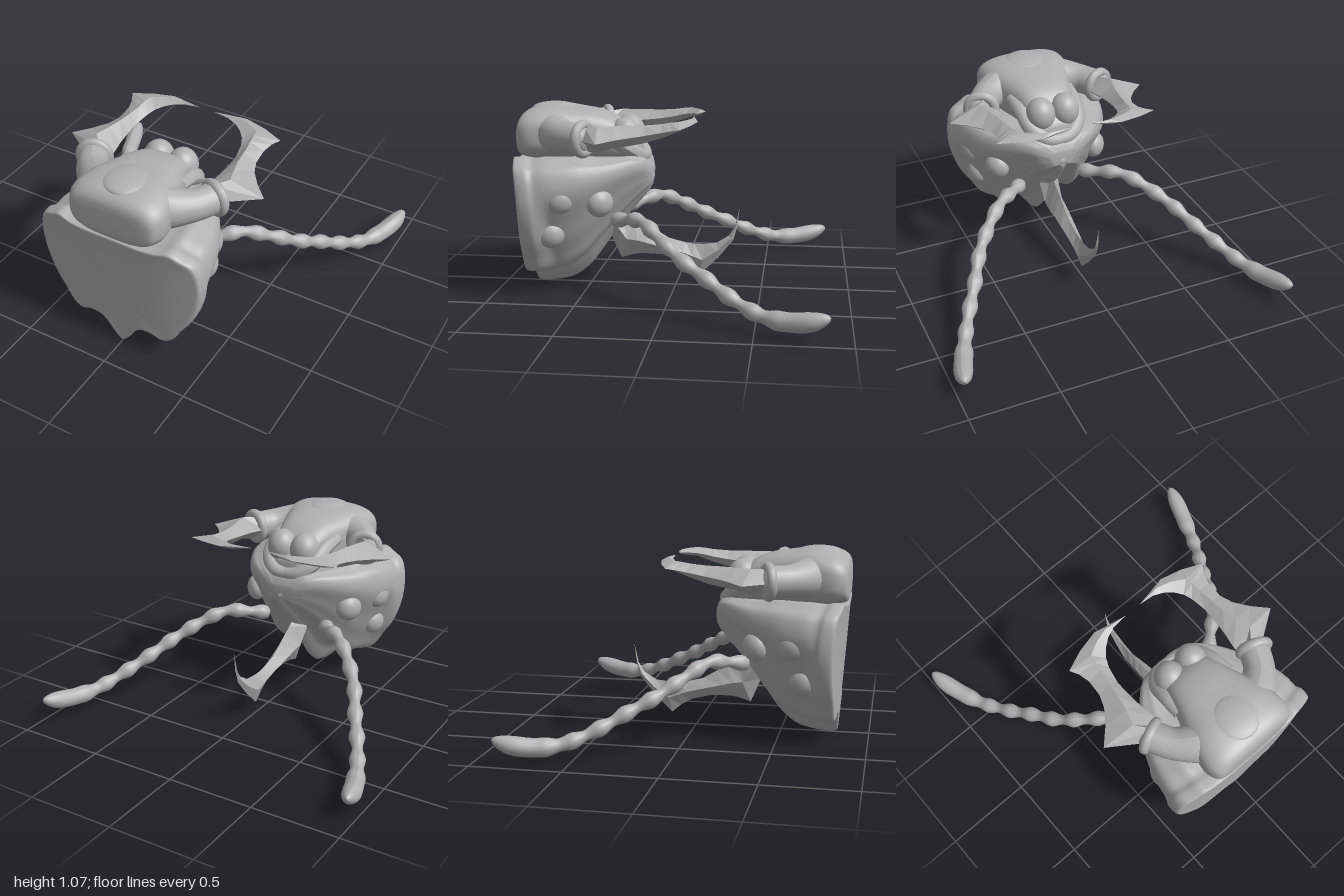
import * as THREE from 'three';

const V = (x, y, z) => new THREE.Vector3(x, y, z);
const { smoothstep, lerp } = THREE.MathUtils;
const shell = new THREE.MeshStandardMaterial({ color: 0xb0b0b0 });
shell.name = 'grey shell';

// Skin a series of closed rings, capping both ends; winding is corrected by signed volume
function loft(rings, flat = false) {
  const m = rings[0].length;
  const centre = r => r.reduce((s, p) => s.add(p), V(0, 0, 0)).divideScalar(m);
  const all = [rings[0].map(() => centre(rings[0])), ...rings, rings[0].map(() => centre(rings.at(-1)))];
  const pts = all.flat(), index = [];
  for (let i = 0; i < all.length - 1; i++)
    for (let j = 0; j < m; j++) {
      const a = i * m + j, b = i * m + (j + 1) % m;
      index.push(a, b, a + m, b, b + m, a + m);
    }
  let volume = 0;
  for (let k = 0; k < index.length; k += 3)
    volume += pts[index[k]].dot(pts[index[k + 1]].clone().cross(pts[index[k + 2]]));
  if (volume < 0) index.reverse();
  let g = new THREE.BufferGeometry().setFromPoints(pts);
  g.setIndex(index);
  if (flat) g = g.toNonIndexed();
  g.computeVertexNormals();
  return g;
}

// Spline-interpolate a table of section parameters
function smoothRows(rows, n) {
  const columns = rows[0].map((_, k) => new THREE.SplineCurve(rows.map(r => new THREE.Vector2(r[k], 0))));
  return Array.from({ length: n + 1 }, (_, i) => columns.map(c => c.getPoint(i / n).x));
}

// Tube whose radius follows a rule along its length
function variedTube(points, segments, sides, radius) {
  const curve = new THREE.CatmullRomCurve3(points);
  const g = new THREE.TubeGeometry(curve, segments, 1, sides, false);
  const p = g.attributes.position, v = V(0, 0, 0);
  for (let i = 0; i <= segments; i++) {
    const c = curve.getPointAt(i / segments), r = radius(i / segments);
    for (let j = 0; j <= sides; j++) {
      const k = i * (sides + 1) + j;
      v.fromBufferAttribute(p, k).sub(c).multiplyScalar(r).add(c);
      p.setXYZ(k, v.x, v.y, v.z);
    }
  }
  g.computeVertexNormals();
  return g;
}

function add(parent, name, geometry, position = [0, 0, 0], scale = [1, 1, 1]) {
  const mesh = new THREE.Mesh(geometry, shell);
  mesh.name = name;
  mesh.position.set(...position);
  mesh.scale.set(...scale);
  parent.add(mesh);
  return mesh;
}

// Scalloped shield outline, right half from top centre to bottom tip
const half = [[0, .785], [.15, .782], [.26, .788], [.335, .805], [.39, .78], [.46, .74], [.49, .62], [.482, .49],
  [.43, .34], [.365, .24], [.31, .155], [.26, .135], [.2, .158], [.13, .155], [.085, .115], [.045, .055], [0, .01]];
const outline = new THREE.CatmullRomCurve3(
  [...half, ...half.slice(1, -1).reverse().map(([x, y]) => [-x, y])].map(([x, y]) => V(x, y, 0)), true).getPoints(110).slice(0, -1);

function headGeometry() {
  // Lean the shield back towards its tip and curve its sides backwards
  const place = (x, y, z) => V(x, y, z + smoothstep(z, .5, .8) * ((y - .75) * .07 - .05 * Math.abs(x / .49) ** 3));
  // z, width factor, bottom, top
  const rows = [[.875, .95, .05, .78], [.872, .985, .022, .795], [.85, 1, .01, .8], [.81, 1, .01, .8], [.77, .975, .015, .79],
    [.7, .97, .025, .8], [.6, .94, .05, .8], [.5, .88, .12, .8], [.4, .77, .255, .79], [.3, .63, .39, .79],
    [.22, .49, .49, .79], [.16, .34, .56, .77], [.13, .16, .61, .71]];
  const sections = smoothRows(rows, 48).map(([z, w, bottom, top]) => outline.map(p => {
    const tuck = 1 - .13 * smoothstep(.8 - p.y, .15, .42) * smoothstep(.8 - z, 0, .12);
    return place(p.x * w * tuck, top - (.8 - p.y) / .79 * (top - bottom), z);
  }));
  // Curved front face inside the rim
  const face = [.15, .4, .65, .85].map(s => outline.map(p =>
    place(p.x * .95 * s, .48 + (.05 + (p.y - .01) * .924 - .48) * s, .872)));
  return loft([...face, ...sections]);
}

function skullGeometry() {
  // z, half width, bottom, top
  const rows = [[.877, .17, .82, .95], [.87, .235, .785, 1], [.84, .265, .77, 1.035], [.78, .28, .76, 1.055],
    [.67, .262, .76, 1.065], [.55, .22, .76, 1.05], [.45, .185, .76, 1.035], [.35, .155, .76, 1],
    [.27, .135, .75, .93], [.2, .1, .74, .84]];
  const bend = t => Math.sign(t) * Math.abs(t) ** .68;
  return loft(smoothRows(rows, 30).map(([z, w, b, t]) => Array.from({ length: 40 }, (_, j) => {
    const a = j / 40 * Math.PI * 2;
    return V(w * bend(Math.cos(a)), (b + t) / 2 + (t - b) / 2 * bend(Math.sin(a)), z);
  })));
}

// Horn blade rows: outer x, z, inner x, z, height, half thickness
const hornRows = [[.42, .47, .3, .45, .91, .07], [.6, .35, .29, .39, .92, .068], [.52, .27, .305, .3, .93, .06],
  [.46, .19, .313, .21, .937, .055], [.433, .12, .315, .13, .945, .048], [.43, .03, .298, .04, .962, .038],
  [.447, -.03, .278, -.005, .975, .033], [.475, -.075, .245, -.045, .985, .027],
  [.36, -.122, .2, -.08, .993, .021], [.235, -.15, .14, -.104, 1, .014], [.05, -.11, .05, -.109, 1.008, .001]];
// Mandible blade rows: outer z, y, inner z, y, half thickness
const jawRows = [[.38, .3, .32, .46, .06], [.32, .16, .24, .41, .056], [.26, .181, .18, .375, .053], [.2, .191, .12, .335, .05],
  [.08, .187, .04, .288, .044], [-.03, .158, -.06, .262, .037], [-.09, .122, -.11, .256, .033], [-.145, .075, -.17, .257, .029],
  [-.25, .18, -.24, .267, .021], [-.335, .285, -.31, .312, .013], [-.355, .36, -.344, .365, .008], [-.37, .475, -.369, .475, .001]];

function buildSide() {
  const side = new THREE.Group();
  // Horn stalk, rim and blade
  add(side, 'hornStalk', variedTube([V(.02, .91, .68), V(.17, .915, .665), V(.305, .915, .575), V(.372, .915, .46)],
    20, 20, t => .125 - .04 * smoothstep(t, .2, .8)));
  const rim = add(side, 'hornRim', new THREE.TorusGeometry(.078, .028, 12, 28), [.372, .915, .46]);
  rim.lookAt(.372 + .39, .915, .46 - .92);
  add(side, 'hornSocket', new THREE.SphereGeometry(.08, 20, 12), [.37, .915, .465], [1, 1, .5]);
  add(side, 'hornBlade', loft(hornRows.map(([ox, oz, ix, iz, y, h]) => {
    const mx = ox * .4 + ix * .6, mz = oz * .4 + iz * .6;
    return [V(ox, y, oz), V(mx, y + h, mz), V(ix, y, iz), V(mx, y - h, mz)];
  }), true));

  // Cluster of three side eyes, turned to lie against the cheek
  for (const [x, y, z, turn] of [[.405, .58, .59, .3], [.318, .55, .385, .65], [.355, .375, .655, .2]]) {
    const eye = add(side, 'sideEye', new THREE.SphereGeometry(.078, 24, 16), [x, y, z], [.75, 1, 1]);
    eye.rotation.y = turn;
  }

  // Beaded antenna ending in a club
  add(side, 'antenna', variedTube([V(.2, .43, .32), V(.27, .45, .24), V(.38, .465, .14), V(.49, .41, .04), V(.61, .32, -.1),
    V(.69, .245, -.24), V(.77, .175, -.37), V(.85, .115, -.52), V(.9, .1, -.64), V(.945, .115, -.77), V(.972, .15, -.88)],
  130, 14, t => {
    const bead = .036 + .008 * Math.sin(t * Math.PI * 2 * 10);
    const club = .053 + .003 * Math.sin((t - .75) * 40);
    const r = lerp(bead, club, smoothstep(t, .72, .88));
    return r * Math.sqrt(Math.max(0, 1 - Math.max(0, (t - .87) / .13) ** 2)) + .0005;
  }));

  // Rear brow eye, lip and cheek folds
  add(side, 'browEye', new THREE.SphereGeometry(.09, 24, 16), [.075, .9, .28], [.95, 1.12, 1]);
  add(side, 'browFold', variedTube([V(.18, .93, .48), V(.165, .9, .36), V(.14, .83, .25), V(.07, .78, .19), V(-.01, .77, .18)],
    24, 12, t => .034 + .012 * Math.sin(t * Math.PI)));
  add(side, 'cheekFold', variedTube([V(.22, .75, .33), V(.17, .72, .225), V(.09, .67, .17), V(-.01, .645, .16)],
    24, 12, t => .03 + .006 * Math.sin(t * 14)));
  return side;
}

export function createModel() {
  const model = new THREE.Group();
  model.name = 'hornedInsectHead';
  add(model, 'shieldHead', headGeometry());
  add(model, 'skull', skullGeometry());
  add(model, 'skullCrest', new THREE.SphereGeometry(1, 24, 14), [0, 1.04, .7], [.13, .036, .13]);
  add(model, 'mandible', loft(jawRows.map(([oz, oy, iz, iy, h]) => {
    const my = (oy + iy) / 2, mz = (oz + iz) / 2;
    return [V(0, oy, oz), V(h, my, mz), V(0, iy, iz), V(-h, my, mz)];
  }), true));

  // Mirrored halves
  for (const s of [1, -1]) {
    const side = buildSide();
    side.name = s > 0 ? 'leftSide' : 'rightSide';
    side.scale.x = s;
    model.add(side);
  }
  return model;
}
